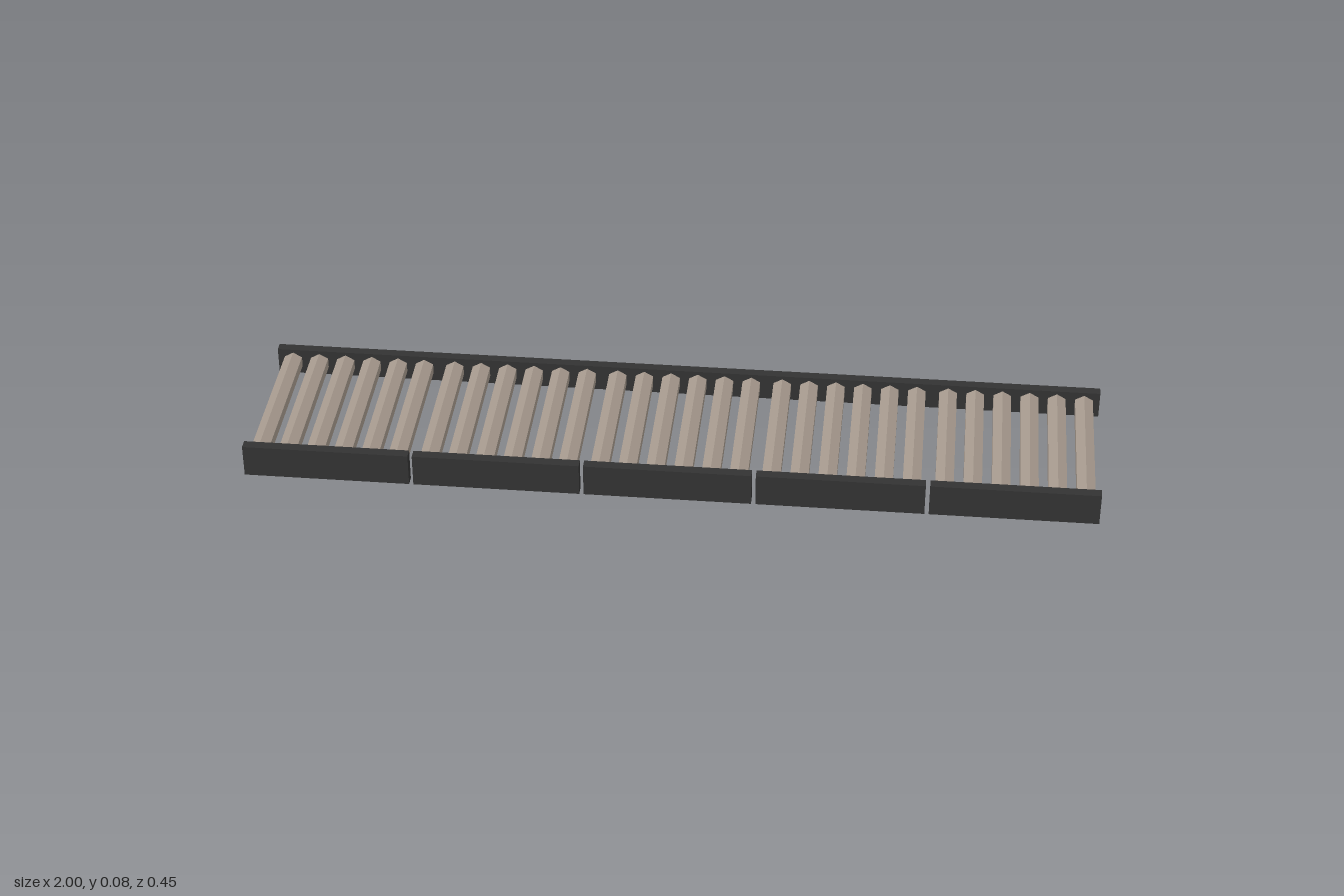
import * as THREE from 'three';

export function createModel() {
  const model = new THREE.Group();
  const railMat = new THREE.MeshStandardMaterial({ color: 0x333333 });
  const rollerMat = new THREE.MeshStandardMaterial({ color: 0xa89b8f, flatShading: true });

  const add = (name, geometry, material, x, y, z) => {
    const mesh = new THREE.Mesh(geometry, material);
    mesh.name = name;
    mesh.position.set(x, y, z);
    model.add(mesh);
  };

  // One long rail along the back
  add('backRail', new THREE.BoxGeometry(2, 0.066, 0.023), railMat, 0, 0.04, -0.2115);

  // Six-sided rollers lying along z, with a ridge on top
  const rollerGeo = new THREE.CylinderGeometry(0.0245, 0.0245, 0.402, 6).rotateX(Math.PI / 2);
  const frontRailGeo = new THREE.BoxGeometry(0.39, 0.079, 0.024);

  // Five sections, each with its own front rail and six rollers
  for (let s = 0; s < 5; s++) {
    const x = (s - 2) * 0.4;
    add(`frontRail${s + 1}`, frontRailGeo, railMat, x, 0.0395, 0.212);
    for (let i = 0; i < 6; i++) {
      add(`roller${s * 6 + i + 1}`, rollerGeo, rollerMat, x + (i - 2.5) * 0.065, 0.0405, 0);
    }
  }
  return model;
}
